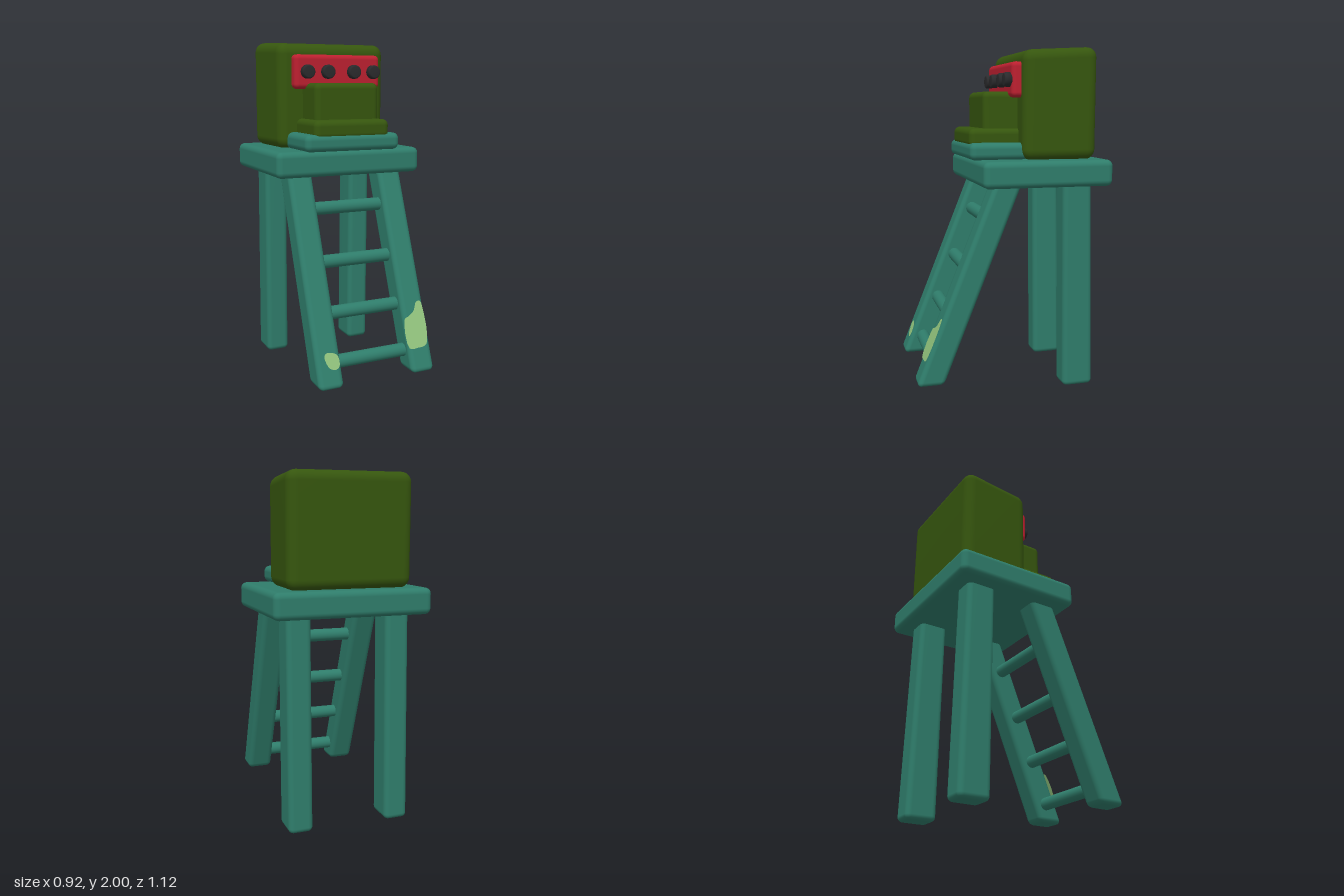
import * as THREE from 'three';
import { RoundedBoxGeometry } from 'three/addons/geometries/RoundedBoxGeometry.js';
import { mergeVertices } from 'three/addons/utils/BufferGeometryUtils.js';

const LEAN = 0.4; // forward lean of the ladder, z per unit of y
const ladderZ = (y) => 0.045 + LEAN * (1.215 - y);

function material(name, color) {
  const m = new THREE.MeshStandardMaterial({ color });
  m.name = name;
  return m;
}

// Rounded box given by its limits on each axis
function block(name, mat, [x0, x1], [y0, y1], [z0, z1], radius) {
  const geo = new RoundedBoxGeometry(x1 - x0, y1 - y0, z1 - z0, 4, radius);
  const mesh = new THREE.Mesh(geo, mat);
  mesh.position.set((x0 + x1) / 2, (y0 + y1) / 2, (z0 + z1) / 2);
  mesh.name = name;
  return mesh;
}

// Moves every vertex by a rule and rebuilds smooth normals
function deform(mesh, rule) {
  let geo = mesh.geometry;
  geo.deleteAttribute('normal');
  geo.deleteAttribute('uv');
  geo = mergeVertices(geo, 1e-5);
  geo.clearGroups();
  const p = geo.attributes.position;
  const v = new THREE.Vector3();
  for (let i = 0; i < p.count; i++) {
    rule(v.fromBufferAttribute(p, i));
    p.setXYZ(i, v.x, v.y, v.z);
  }
  geo.computeVertexNormals();
  mesh.geometry = geo;
  return mesh;
}

export function createModel() {
  const teal = material('teal', 0x2f7d6b);
  const green = material('dark green', 0x36560e);
  const red = material('red', 0xbd2030);
  const black = material('black', 0x2b2b2d);
  const patchGreen = material('light green', 0x92c47d);
  patchGreen.side = THREE.DoubleSide;

  const model = new THREE.Group();
  model.name = 'machineOnLadderStool';

  // Stool top and the small tray on it
  model.add(block('stoolTop', teal, [-0.46, 0.457], [1.215, 1.365], [-0.555, 0.203], 0.035));
  model.add(block('tray', teal, [-0.302, 0.298], [1.362, 1.46], [-0.1, 0.243], 0.035));

  for (const side of [-1, 1]) {
    const x = side * 0.292;
    // Back leg, widening a little and stepping back towards the foot
    const back = block('backLeg', teal, [x - 0.071, x + 0.071], [0, 1.25], [-0.474, -0.294], 0.03);
    model.add(deform(back, (v) => {
      const t = v.y / 1.25; // -0.5 at the foot, 0.5 at the top
      v.z = v.z * (1 - 0.08 * t) + 0.022 * t;
    }));
    // Leaning front leg, sheared so its ends stay level
    const front = block('frontLeg', teal, [x - 0.075, x + 0.075], [0.083, 1.277], [-0.08, 0.08], 0.03);
    front.geometry.applyMatrix4(new THREE.Matrix4().makeShear(0, 0, 0, -LEAN, 0, 0));
    front.geometry.applyMatrix4(new THREE.Matrix4());
    const pos = front.geometry.attributes.position;
    let slope = 0;
    for (let i = 0; i < pos.count; i++) slope += (pos.getZ(i)) * pos.getY(i);
    // Keep the lean towards the front whatever the shear order
    if (slope >= 0 || Math.abs(slope) < 1e-3) {
      deform(front, (v) => { v.z -= LEAN * v.y; });
    }
    front.position.z = ladderZ(front.position.y);
    model.add(front);
  }

  // Ladder rungs
  for (const y of [0.195, 0.45, 0.725, 1.02]) {
    const rung = new THREE.Mesh(new THREE.CylinderGeometry(0.039, 0.039, 0.5, 20), teal);
    rung.rotation.z = Math.PI / 2;
    rung.position.set(0, y, ladderZ(y));
    rung.name = 'rung';
    model.add(rung);
  }

  // Paint patches on the front faces of the ladder legs
  const patches = [
    [[-0.315, 0.255], [-0.295, 0.2], [-0.26, 0.185], [-0.233, 0.2], [-0.235, 0.255], [-0.275, 0.275], [-0.305, 0.273]],
    [[0.222, 0.225], [0.28, 0.22], [0.335, 0.23], [0.355, 0.29], [0.355, 0.42], [0.345, 0.468],
      [0.318, 0.468], [0.29, 0.42], [0.25, 0.395], [0.222, 0.38]],
  ];
  for (const points of patches) {
    const curve = new THREE.CatmullRomCurve3(points.map(([x, y]) => new THREE.Vector3(x, y, 0)), true);
    const geo = new THREE.ShapeGeometry(new THREE.Shape(curve.getPoints(40).map((p) => new THREE.Vector2(p.x, p.y))));
    const p = geo.attributes.position;
    for (let i = 0; i < p.count; i++) p.setZ(i, ladderZ(p.getY(i)) + 0.083);
    geo.computeVertexNormals();
    const patch = new THREE.Mesh(geo, patchGreen);
    patch.name = 'paintPatch';
    model.add(patch);
  }

  // Machine body: narrower and slightly lower at the front
  const body = block('machineBody', green, [-0.368, 0.362], [1.36, 2], [-0.49, -0.055], 0.06);
  model.add(deform(body, (v) => {
    const t = v.z / 0.435 + 0.5; // 0 at the back, 1 at the front
    v.x *= 1 - 0.05 * t;
    if (v.y > 0) v.y -= 0.022 * t;
  }));

  // Stepped front of the machine
  model.add(block('frontBlock', green, [-0.203, 0.205], [1.42, 1.75], [-0.12, 0.147], 0.035));
  model.add(block('frontStep', green, [-0.243, 0.232], [1.43, 1.54], [-0.12, 0.234], 0.035));

  // Control panel with four knobs
  model.add(block('controlPanel', red, [-0.273, 0.285], [1.715, 1.915], [-0.11, 0], 0.028));
  const profile = [[0, -0.02], [0.041, -0.02], [0.041, 0.025], [0.038, 0.034], [0.031, 0.038], [0, 0.038]];
  const knobGeo = new THREE.LatheGeometry(profile.map(([r, y]) => new THREE.Vector2(r, y)), 24);
  knobGeo.rotateX(Math.PI / 2);
  for (const x of [-0.196, -0.066, 0.103, 0.233]) {
    const knob = new THREE.Mesh(knobGeo, black);
    knob.position.set(x, 1.815, 0);
    knob.name = 'knob';
    model.add(knob);
  }
  return model;
}
